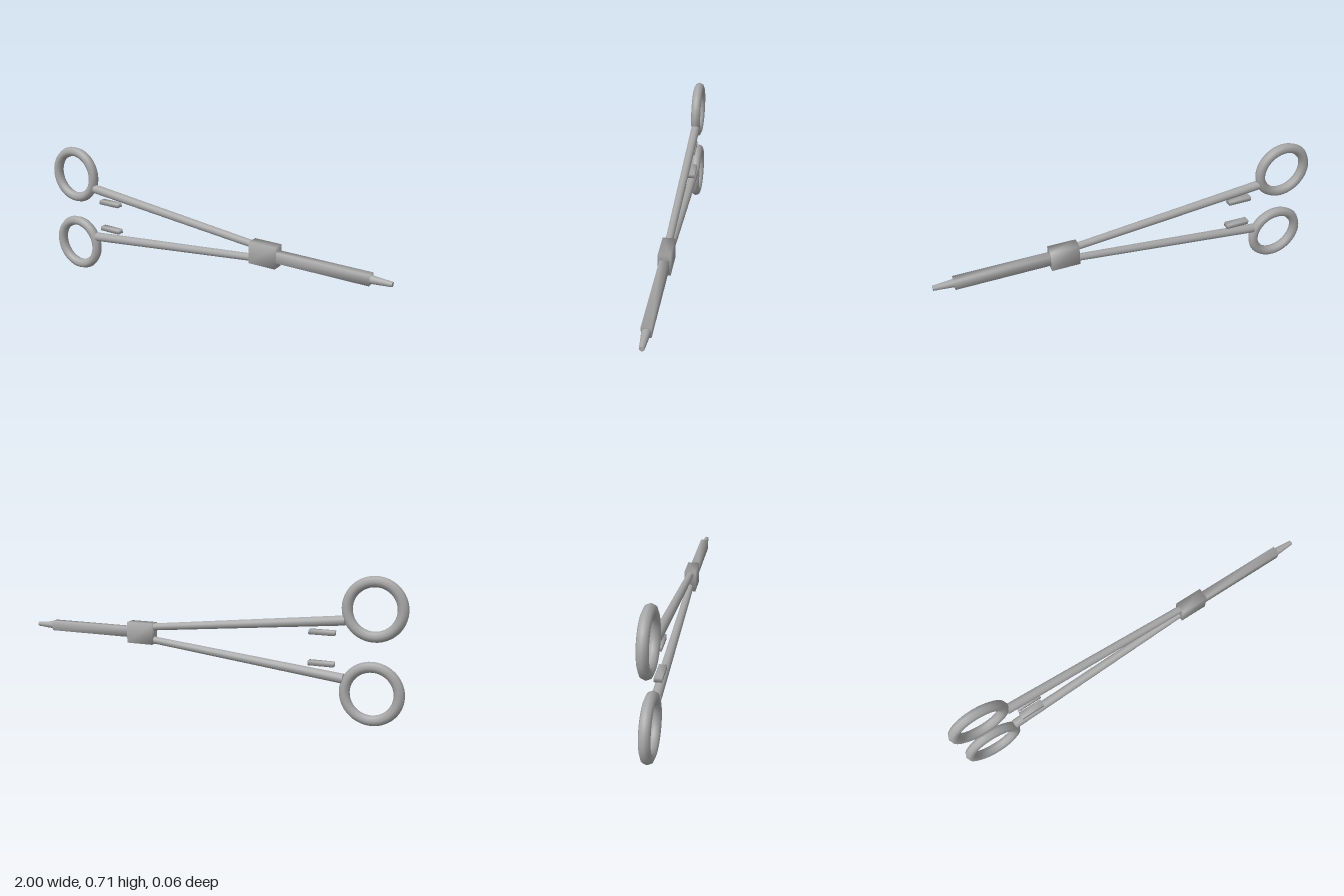
import * as THREE from 'three';
import { mergeVertices } from 'three/addons/utils/BufferGeometryUtils.js';

const AXIS_Y = 0.353; // height of the instrument's long axis

// Box with shared corners, so its shading is soft
function softBox(w, h, d) {
  const box = new THREE.BoxGeometry(w, h, d);
  box.deleteAttribute('normal');
  box.deleteAttribute('uv');
  const g = mergeVertices(box);
  g.computeVertexNormals();
  return g;
}

// Tapered round rod between two points in the xy plane
function rod(x0, y0, r0, x1, y1, r1, sides) {
  const dx = x1 - x0, dy = y1 - y0;
  const g = new THREE.CylinderGeometry(r1, r0, Math.hypot(dx, dy), sides);
  g.rotateZ(Math.atan2(dy, dx) - Math.PI / 2);
  g.translate((x0 + x1) / 2, (y0 + y1) / 2, 0);
  return g;
}

export function createModel() {
  const model = new THREE.Group();
  model.name = 'clampForceps';
  const steel = new THREE.MeshStandardMaterial({ color: 0xa8a8a8 });
  steel.name = 'steel';

  const add = (name, geometry, x = 0, y = 0) => {
    const mesh = new THREE.Mesh(geometry, steel);
    mesh.name = name;
    mesh.position.set(x, AXIS_Y + y, 0);
    model.add(mesh);
  };

  // Finger rings, shanks and ratchet bars, mirrored about the long axis
  for (const [side, s] of [['upper', 1], ['lower', -1]]) {
    add(side + 'FingerRing', new THREE.TorusGeometry(0.128, 0.026, 8, 48), -0.846, s * 0.199);
    add(side + 'Shank', rod(-0.71, s * 0.139, 0.024, 0.36, s * 0.027, 0.018, 16));
    add(side + 'Ratchet', softBox(0.125, 0.022, 0.036), -0.603, s * 0.075);
  }

  // Box joint, closed jaws and tapered tip
  add('boxJoint', softBox(0.145, 0.11, 0.06), 0.358);
  add('jaws', softBox(0.52, 0.052, 0.044), 0.64);
  add('tip', rod(0.89, 0, 0.021, 1.0, 0, 0.012, 16));
  return model;
}
